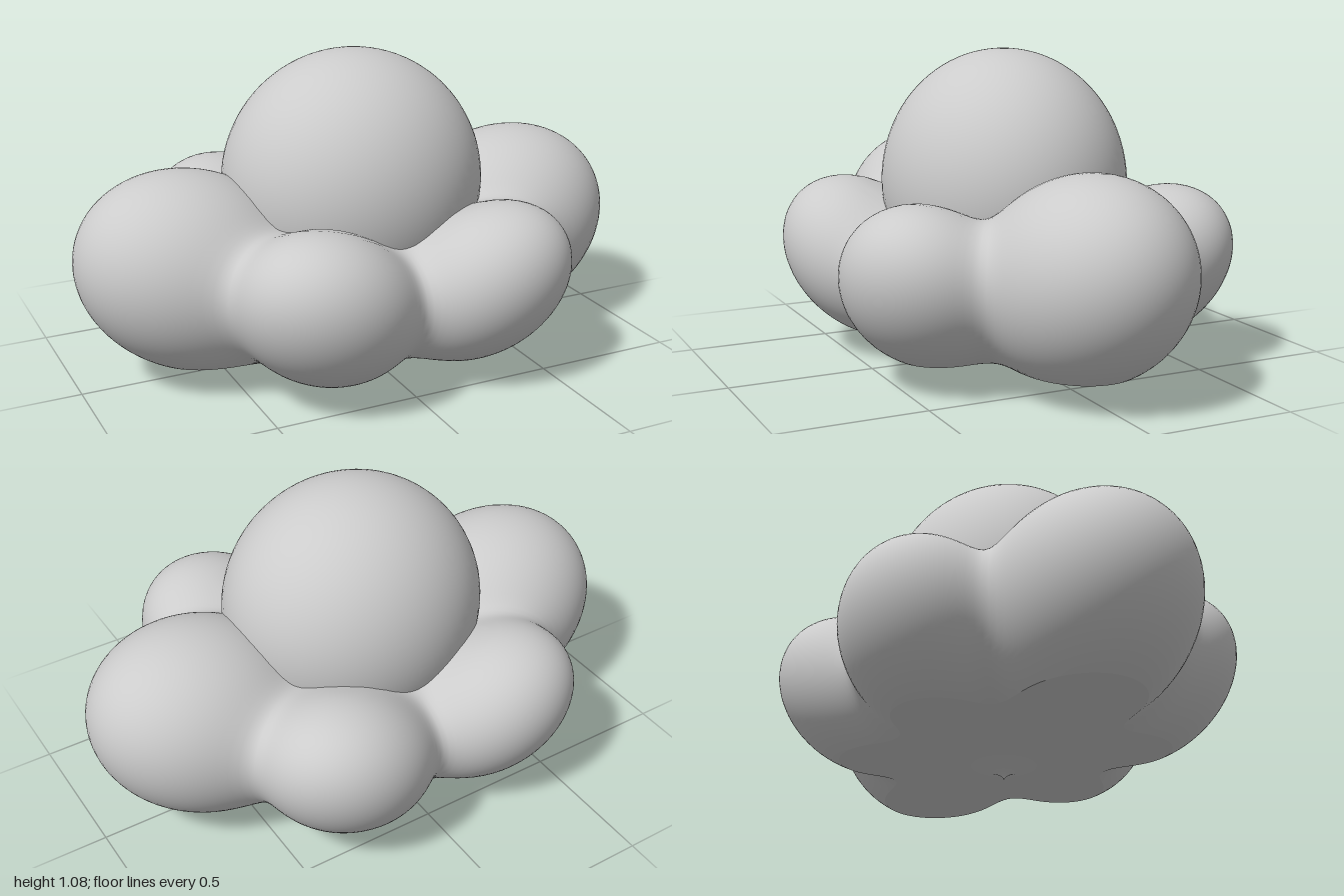
import * as THREE from 'three';

const FLOOR = 0.09;   // height of the flat underside
const MID = 0.34;     // height the rays of the puffy ring start from
const BLEND = 0.04;   // softness of the valleys between lobes

// Lobes: centre, radii, outward lean (dx, dz per unit of height)
const lobes = [];
for (const sx of [1, -1]) {
  lobes.push({ c: [0.59 * sx, 0.38, 0], r: [0.4, 0.35, 0.342], lean: [0.17 * sx, 0] });
  for (const sz of [1, -1]) {
    lobes.push({ c: [0.285 * sx, 0.34, 0.415 * sz], r: [0.3, 0.28, 0.278], lean: [0.2 * sx, 0.2 * sz] });
  }
}

// Smooth union of the lobes and a flattened core; negative inside
function field(x, y, z) {
  const core = Math.sqrt((x / 0.5) ** 2 + (z / 0.42) ** 2 + ((y - 0.3) / 0.27) ** 4) - 1;
  let sum = Math.exp(-core * 0.3 / BLEND);
  for (const { c, r, lean } of lobes) {
    const dy = y - c[1];
    const q = Math.hypot((x - c[0] - lean[0] * dy) / r[0], dy / r[1], (z - c[2] - lean[1] * dy) / r[2]);
    sum += Math.exp(-(q - 1) * r[1] / BLEND);
  }
  return -BLEND * Math.log(sum);
}

// Outermost distance along a ray from the axis at height y0
function reach(y0, dx, dy, dz) {
  const f = (t) => field(dx * t, y0 + dy * t, dz * t);
  let t = 1.3;
  while (t > 0.02 && f(t) > 0) t -= 0.02;
  let lo = t, hi = t + 0.02;
  for (let i = 0; i < 14; i++) {
    const m = (lo + hi) / 2;
    if (f(m) > 0) hi = m; else lo = m;
  }
  return lo;
}

// Closed-around grid surface; rows run from the bottom up
function ringSurface(around, rows, point) {
  const pos = [], idx = [];
  for (let j = 0; j <= rows; j++) {
    for (let i = 0; i < around; i++) pos.push(...point(i, j / rows));
  }
  for (let j = 0; j < rows; j++) {
    for (let i = 0; i < around; i++) {
      const n = (i + 1) % around;
      const a = j * around + i, b = j * around + n, c = a + around, d = b + around;
      idx.push(a, c, b, b, c, d);
    }
  }
  const g = new THREE.BufferGeometry();
  g.setAttribute('position', new THREE.Float32BufferAttribute(pos, 3));
  g.setIndex(idx);
  g.computeVertexNormals();
  return g;
}

export function createModel() {
  const group = new THREE.Group();
  const material = new THREE.MeshStandardMaterial({ color: 0xcccccc, roughness: 0.8 });
  const add = (name, geometry) => {
    const mesh = new THREE.Mesh(geometry, material);
    mesh.name = name;
    group.add(mesh);
    return mesh;
  };

  // Outline of the flat cut under the lobes
  const around = 192;
  const outline = [];
  for (let i = 0; i < around; i++) {
    const a = (i / around) * Math.PI * 2;
    const c = Math.cos(a), s = Math.sin(a);
    outline.push({ c, s, rho: reach(FLOOR, c, 0, s) });
  }

  // Six puffy lobes melted into one ring
  add('lobeRing', ringSurface(around, 80, (i, v) => {
    const { c, s, rho } = outline[i];
    const low = Math.atan2(FLOOR - MID, rho);
    if (v === 0) return [c * rho, FLOOR, s * rho];
    const phi = low + (Math.PI / 2 - low) * v;
    const h = Math.cos(phi), dy = Math.sin(phi);
    const t = reach(MID, c * h, dy, s * h);
    return [c * h * t, MID + dy * t, s * h * t];
  }));

  // Flat underside drawn down to a small point in the middle
  add('underside', ringSurface(around, 24, (i, v) => {
    const { c, s, rho } = outline[i];
    const r = rho * v * v;
    return [c * r, FLOOR * Math.min(1, Math.sqrt(r / 0.33)), s * r];
  }));

  // Large dome on top
  const dome = add('dome', new THREE.SphereGeometry(1, 64, 48));
  dome.scale.set(0.46, 0.46, 0.42);
  dome.position.y = 0.62;

  return group;
}
